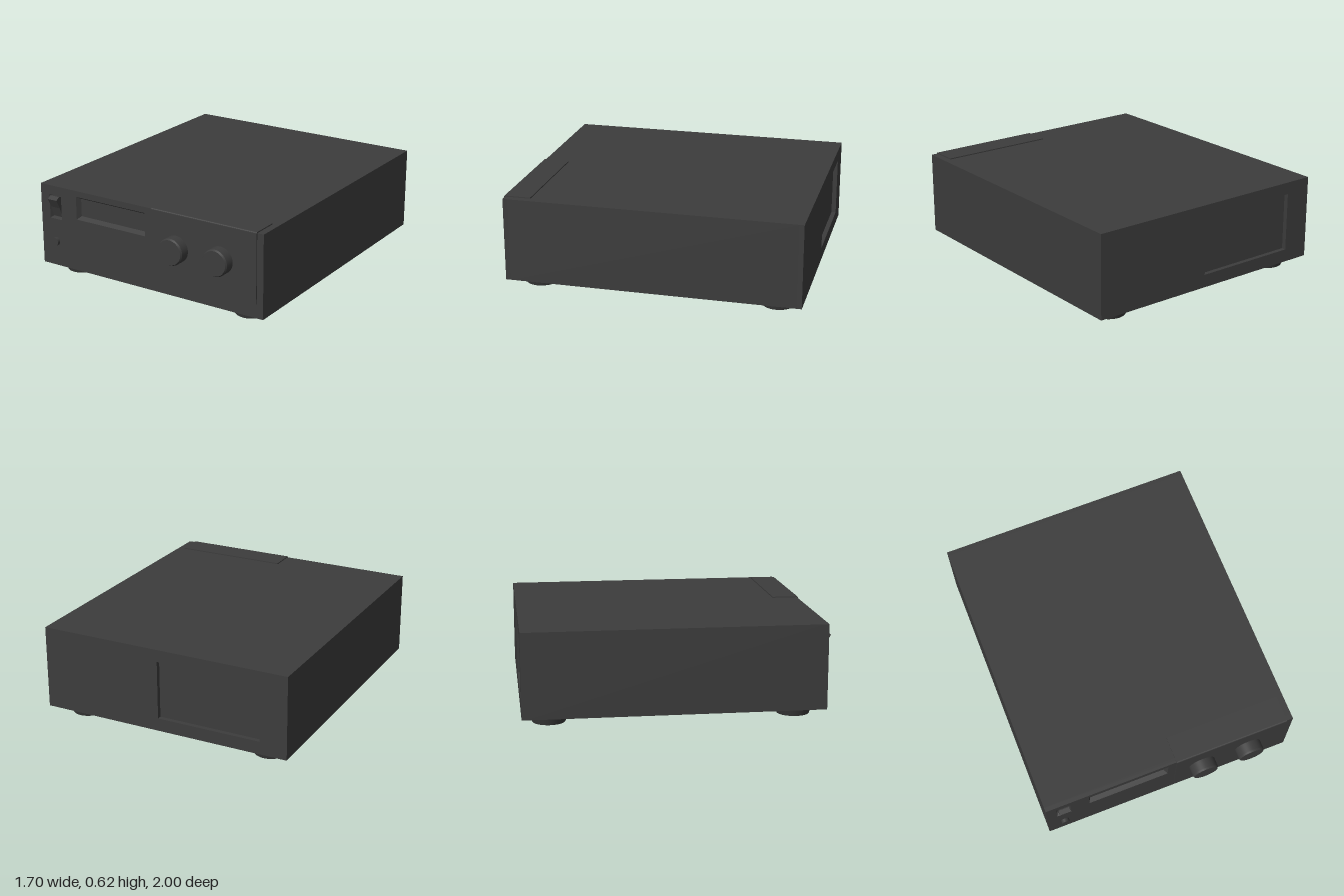
import * as THREE from 'three';

const dark = new THREE.MeshStandardMaterial({ color: 0x3c3c3c });
const darkDouble = new THREE.MeshStandardMaterial({ color: 0x3c3c3c, side: THREE.DoubleSide });

function add(parent, name, geometry, material = dark) {
  const mesh = new THREE.Mesh(geometry, material);
  mesh.name = name;
  parent.add(mesh);
  return mesh;
}

// Rectangle outline { x0, x1, y0, y1 } as corner points
const corners = (r, inset = 0) => [
  [r.x0 + inset, r.y0 + inset], [r.x1 - inset, r.y0 + inset],
  [r.x1 - inset, r.y1 - inset], [r.x0 + inset, r.y1 - inset],
].map(([x, y]) => new THREE.Vector2(x, y));

// Flat plate with rectangular openings
function plate(outer, holes, depth) {
  const shape = new THREE.Shape(corners(outer));
  holes.forEach((h) => shape.holes.push(new THREE.Path(corners(h))));
  return new THREE.ExtrudeGeometry(shape, { depth, bevelEnabled: false });
}

// Sloping walls of an opening, narrowing from zFront to zBack
function slopedWalls(rect, inset, zFront, zBack) {
  const a = corners(rect), b = corners(rect, inset), pos = [];
  for (let i = 0; i < 4; i++) {
    const j = (i + 1) % 4;
    const quad = [[a[i], zFront], [a[j], zFront], [b[j], zBack], [b[i], zBack]];
    [0, 1, 2, 0, 2, 3].forEach((k) => pos.push(quad[k][0].x, quad[k][0].y, quad[k][1]));
  }
  const g = new THREE.BufferGeometry();
  g.setAttribute('position', new THREE.Float32BufferAttribute(pos, 3));
  g.computeVertexNormals();
  return g;
}

// Side profile of (z, y) points extruded from x0 to x1
function sideProfile(shape, x0, x1) {
  return new THREE.ExtrudeGeometry(shape, { depth: x1 - x0, bevelEnabled: false, curveSegments: 6 })
    .rotateY(-Math.PI / 2).translate(x1, 0, 0);
}

export function createModel() {
  const model = new THREE.Group();
  model.name = 'desktopUnit';

  const outline = { x0: -0.85, x1: 0.85, y0: 0.06, y1: 0.61 };
  const slot = { x0: -0.56, x1: -0.015, y0: 0.415, y1: 0.57 };
  const switchHole = { x0: -0.78, x1: -0.685, y0: 0.385, y1: 0.547 };
  const rearHole = { x0: -0.67, x1: 0.035, y0: 0.145, y1: 0.53 };

  // Case: core with pierced plates on front and back
  const body = new THREE.Group();
  body.name = 'case';
  model.add(body);
  add(body, 'caseCore', new THREE.BoxGeometry(1.7, 0.55, 1.86).translate(0, 0.335, -0.04));
  add(body, 'frontPlate', plate(outline, [slot, switchHole], 0.03).translate(0, 0, 0.89));
  add(body, 'rearPlate', plate(outline, [rearHole], 0.03).translate(0, 0, -1));
  add(body, 'slotWalls', slopedWalls(slot, 0.018, 0.92, 0.89), darkDouble);
  add(body, 'switchWalls', slopedWalls(switchHole, 0.012, 0.92, 0.89), darkDouble);

  // Control panel wrapping over the top front edge
  const wrap = new THREE.Shape();
  wrap.moveTo(0.90, 0.155);
  wrap.lineTo(0.927, 0.155);
  wrap.lineTo(0.927, 0.607);
  wrap.quadraticCurveTo(0.927, 0.617, 0.917, 0.617);
  wrap.lineTo(0.75, 0.617);
  wrap.lineTo(0.75, 0.60);
  wrap.lineTo(0.90, 0.60);
  add(model, 'controlPanel', sideProfile(wrap, 0.04, 0.805));

  // Two round knobs
  const knobProfile = [[0.088, 0], [0.088, 0], [0.088, 0.064], [0.088, 0.064], [0.081, 0.075], [0.081, 0.075], [0, 0.075]]
    .map(([r, h]) => new THREE.Vector2(r, h));
  for (const x of [0.225, 0.55]) {
    add(model, 'knob', new THREE.LatheGeometry(knobProfile, 48).rotateX(Math.PI / 2))
      .position.set(x, 0.385, 0.925);
  }

  // Rocker switch, upper end tipped outward
  const rocker = new THREE.Shape([
    [0.885, 0.397], [0.9, 0.397], [0.922, 0.465], [0.952, 0.525], [0.925, 0.543], [0.885, 0.535],
  ].map(([z, y]) => new THREE.Vector2(z, y)));
  add(model, 'rockerSwitch', sideProfile(rocker, -0.768, -0.697));

  // Small indicator lamp
  add(model, 'indicatorLamp', new THREE.CylinderGeometry(0.027, 0.027, 0.03, 32).rotateX(Math.PI / 2))
    .position.set(-0.735, 0.23, 0.927);

  // Four tapered feet
  for (const x of [-0.663, 0.66]) {
    for (const z of [0.74, -0.825]) {
      add(model, 'foot', new THREE.CylinderGeometry(0.125, 0.105, 0.06, 40)).position.set(x, 0.03, z);
    }
  }
  return model;
}
